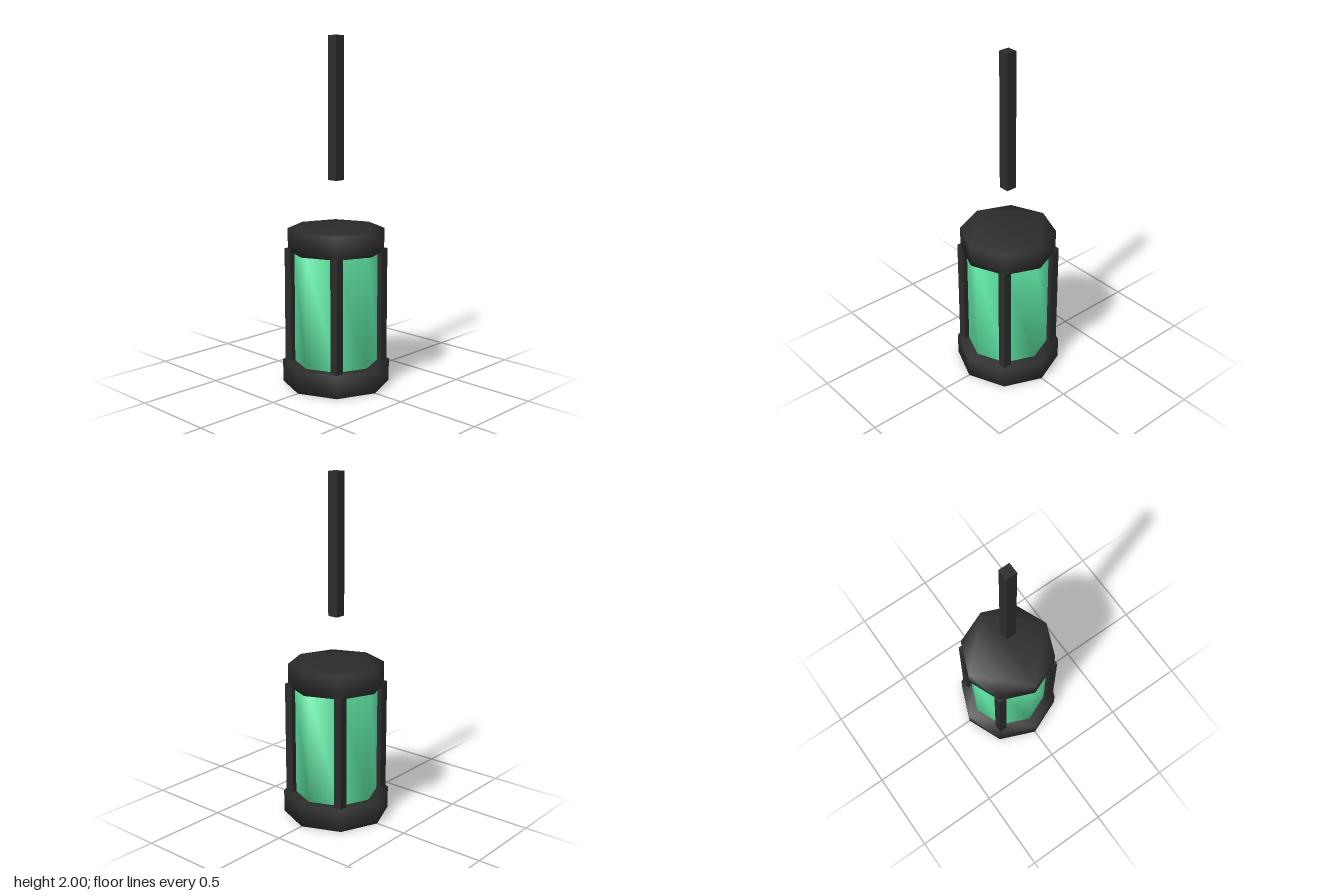
import * as THREE from 'three';
import { mergeVertices } from 'three/addons/utils/BufferGeometryUtils.js';

// Upright octagonal prism whose rim vertices share one smooth normal
function softOctagon(radius, bottom, top) {
  const corners = [];
  for (let i = 0; i < 8; i++) {
    const a = (i * Math.PI) / 4;
    corners.push(new THREE.Vector2(Math.cos(a) * radius, Math.sin(a) * radius));
  }
  const prism = new THREE.ExtrudeGeometry(new THREE.Shape(corners), {
    depth: top - bottom, bevelEnabled: false,
  });
  prism.rotateX(-Math.PI / 2).translate(0, bottom, 0);
  prism.deleteAttribute('uv');
  prism.deleteAttribute('normal');
  const soft = mergeVertices(prism, 1e-4);
  soft.computeVertexNormals();
  return soft;
}

export function createModel() {
  const iron = new THREE.MeshStandardMaterial({ name: 'dark iron', color: 0x2b2b2b });
  const glass = new THREE.MeshStandardMaterial({ name: 'green glass', color: 0x5ce0a0 });
  const lantern = new THREE.Group();
  lantern.name = 'hangingLantern';

  const add = (name, geometry, material, x = 0, y = 0, z = 0) => {
    const mesh = new THREE.Mesh(geometry, material);
    mesh.name = name;
    mesh.position.set(x, y, z);
    lantern.add(mesh);
  };

  // Body
  add('base', softOctagon(0.31, 0, 0.13), iron);
  add('glassBody', softOctagon(0.244, 0.12, 0.79), glass);
  add('cap', softOctagon(0.277, 0.783, 0.913), iron);

  // Corner posts, slightly overlapping the base and cap
  const post = new THREE.BoxGeometry(0.05, 0.675, 0.05);
  for (const [side, x] of [['left', 0.184], ['right', -0.184]]) {
    for (const [end, z] of [['Front', 0.184], ['Back', -0.184]]) {
      add(`${side}${end}Post`, post, iron, x, 0.4575, z);
    }
  }

  // Hanging rod floating above the cap
  add('hangingRod', new THREE.BoxGeometry(0.064, 0.81, 0.064), iron, 0, 1.595, 0);

  return lantern;
}
